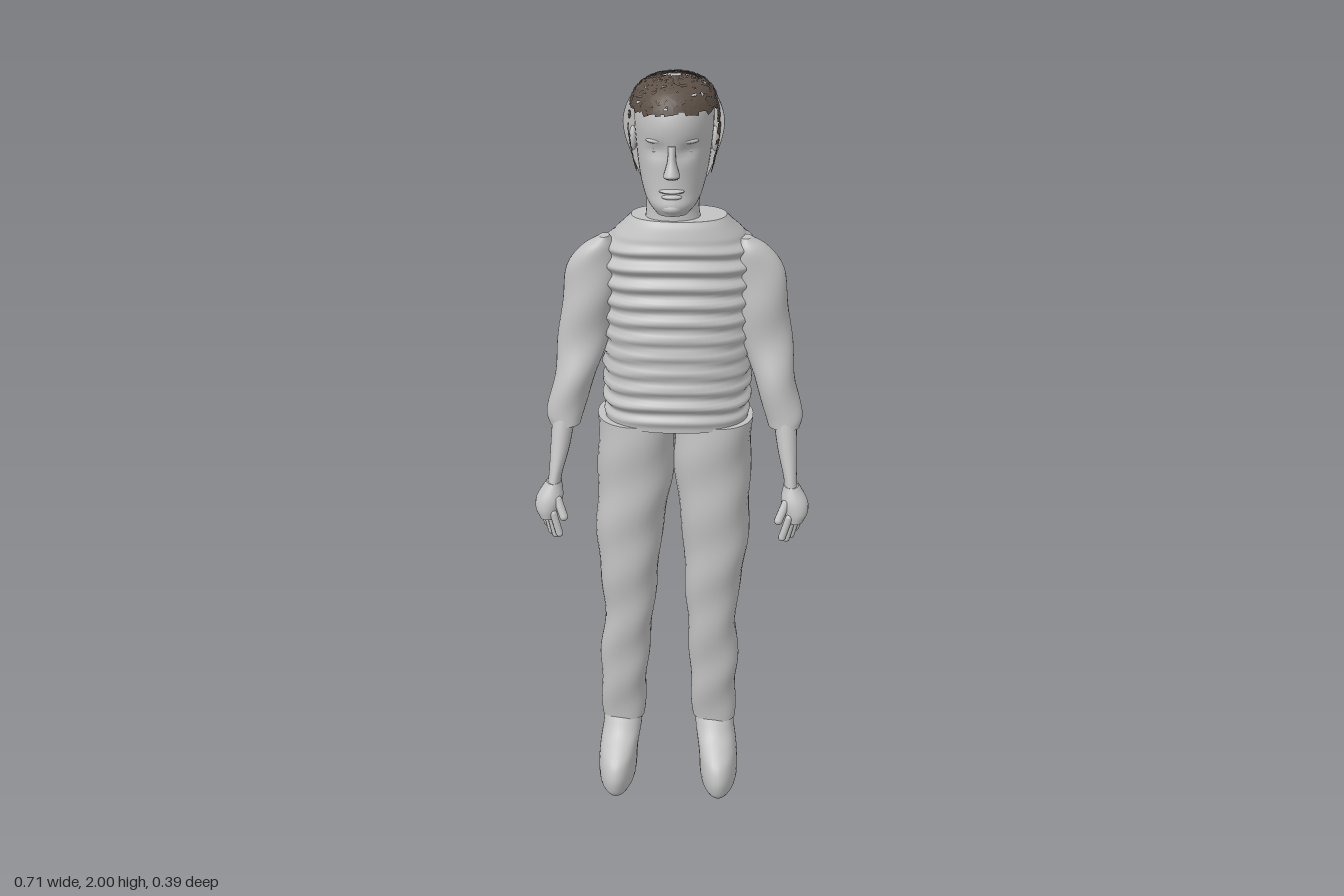
import * as THREE from 'three';

const mat = (name, color, extra = {}) => Object.assign(new THREE.MeshStandardMaterial({ color, ...extra }), { name });

// Smooth sampler over horizontal rings [y, x0, x1, z0, z1], listed bottom to top
function ringSampler(rings, pow = 2) {
  const curve = new THREE.CubicInterpolant(rings.map((_, i) => i), rings.flat(), 5);
  const e = 2 / pow;
  const bend = (v) => Math.sign(v) * Math.abs(v) ** e;
  return (t, a) => {
    const [y, x0, x1, z0, z1] = curve.evaluate(t);
    return new THREE.Vector3(
      (x0 + x1) / 2 + bend(Math.cos(a)) * (x1 - x0) / 2, y,
      (z0 + z1) / 2 + bend(Math.sin(a)) * (z1 - z0) / 2);
  };
}

// Closed skin over the rings; warp(point, angle) may adjust every vertex
function loft(rings, { seg = 32, steps = 5, pow = 2, warp } = {}) {
  const sample = ringSampler(rings, pow);
  const rows = (rings.length - 1) * steps;
  const pos = [], idx = [];
  const addRow = (r) => {
    for (let j = 0; j < seg; j++) {
      const a = (j / seg) * Math.PI * 2;
      const p = sample(r / steps, a);
      if (warp) warp(p, a);
      pos.push(p.x, p.y, p.z);
    }
  };
  for (let r = 0; r <= rows; r++) addRow(r);
  for (let r = 0; r < rows; r++) {
    for (let j = 0; j < seg; j++) {
      const a = r * seg + j, b = r * seg + (j + 1) % seg;
      idx.push(a, a + seg, b, b, a + seg, b + seg);
    }
  }
  // Separate cap vertices keep the rims sharp
  for (const r of [0, rows]) {
    const start = pos.length / 3;
    addRow(r);
    const c = new THREE.Vector3();
    for (let j = 0; j < seg; j++) c.add(new THREE.Vector3().fromArray(pos, (start + j) * 3));
    c.divideScalar(seg);
    pos.push(c.x, c.y, c.z);
    for (let j = 0; j < seg; j++) {
      const a = start + j, b = start + (j + 1) % seg;
      if (r === 0) idx.push(start + seg, a, b); else idx.push(start + seg, b, a);
    }
  }
  const g = new THREE.BufferGeometry();
  g.setAttribute('position', new THREE.Float32BufferAttribute(pos, 3));
  g.setIndex(idx);
  g.computeVertexNormals();
  return g;
}

// Body centre line leans slightly to the model's left towards the top
const midX = (y) => 0.018 * THREE.MathUtils.clamp((y - 0.3) / 0.8, 0, 1);
const mirror = (rings) => rings.map(([y, x0, x1, z0, z1]) => [y, 2 * midX(y) - x1, 2 * midX(y) - x0, z0, z1]);

export function createModel() {
  const group = new THREE.Group();
  const grey = mat('pale grey', 0xc2c2c2);
  const brown = mat('hair brown', 0x5c5047, { side: THREE.DoubleSide });
  const add = (name, geo, m = grey) => {
    const mesh = new THREE.Mesh(geo, m);
    mesh.name = name;
    group.add(mesh);
    return mesh;
  };
  const ball = (name, p, r) => {
    const mesh = add(name, new THREE.SphereGeometry(1, 20, 14));
    mesh.position.set(...p);
    mesh.scale.set(...r);
    return mesh;
  };
  const rod = (name, a, b, r) => {
    const A = new THREE.Vector3(...a), B = new THREE.Vector3(...b), d = B.clone().sub(A);
    const mesh = add(name, new THREE.CapsuleGeometry(r, d.length(), 5, 10));
    mesh.position.copy(A).add(B).multiplyScalar(0.5);
    mesh.quaternion.setFromUnitVectors(new THREE.Vector3(0, 1, 0), d.normalize());
  };

  // Padded shirt with horizontal ridges
  add('shirt', loft([
    [1.115, -0.165, 0.208, -0.15, 0.112], [1.2, -0.165, 0.21, -0.155, 0.117],
    [1.4, -0.165, 0.215, -0.17, 0.118], [1.52, -0.17, 0.222, -0.188, 0.115],
    [1.56, -0.168, 0.22, -0.193, 0.113], [1.6, -0.145, 0.198, -0.165, 0.11],
    [1.64, -0.108, 0.162, -0.11, 0.1], [1.66, -0.09, 0.145, -0.08, 0.09],
  ], { seg: 64, steps: 16, pow: 2.3, warp: (p, a) => {
    const fade = THREE.MathUtils.smoothstep(p.y, 1.115, 1.16) * (1 - THREE.MathUtils.smoothstep(p.y, 1.57, 1.62));
    const k = 0.007 * fade * Math.sin((p.y + 0.005 * Math.sin(a * 3)) * Math.PI * 2 / 0.045);
    p.x += Math.cos(a) * k;
    p.z += Math.sin(a) * k;
  } }));

  // Trousers, shoes, sleeves and forearms for the right side, mirrored for the left
  const leg = [
    [0.19, -0.19, -0.07, -0.045, 0.052], [0.3, -0.19, -0.063, -0.042, 0.065],
    [0.4, -0.19, -0.055, -0.04, 0.075], [0.55, -0.176, -0.04, -0.055, 0.088],
    [0.68, -0.188, -0.026, -0.075, 0.096], [0.8, -0.195, -0.014, -0.1, 0.1],
    [0.92, -0.19, 0.008, -0.125, 0.1], [1.02, -0.187, 0.018, -0.135, 0.1],
    [1.122, -0.185, 0.018, -0.138, 0.1],
  ];
  const shoe = [
    [0, -0.188, -0.103, -0.06, 0.155], [0.02, -0.198, -0.094, -0.08, 0.168],
    [0.06, -0.2, -0.09, -0.09, 0.175], [0.1, -0.197, -0.088, -0.088, 0.16],
    [0.13, -0.193, -0.083, -0.078, 0.122], [0.16, -0.188, -0.078, -0.06, 0.08],
    [0.2, -0.185, -0.075, -0.043, 0.049],
  ];
  const sleeve = [
    [1.125, -0.302, -0.225, 0.03, 0.11], [1.16, -0.308, -0.215, 0.012, 0.108],
    [1.25, -0.29, -0.182, -0.02, 0.098], [1.35, -0.278, -0.15, -0.04, 0.075],
    [1.45, -0.266, -0.13, -0.043, 0.072], [1.53, -0.25, -0.125, -0.038, 0.068],
    [1.58, -0.215, -0.13, -0.025, 0.06], [1.607, -0.172, -0.142, 0, 0.04],
  ];
  const forearm = [
    [0.97, -0.31, -0.272, 0.095, 0.158], [1.0, -0.304, -0.27, 0.09, 0.15],
    [1.07, -0.3, -0.25, 0.062, 0.128], [1.15, -0.295, -0.235, 0.035, 0.105],
  ];
  const palm = [
    [0.895, -0.328, -0.285, 0.118, 0.18], [0.92, -0.338, -0.275, 0.112, 0.182],
    [0.95, -0.334, -0.266, 0.105, 0.175], [0.985, -0.31, -0.271, 0.094, 0.156],
  ];
  const folds = (p, a) => {
    const k = 0.0025 * Math.sin(p.y * 34 + a * 2);
    p.x += Math.cos(a) * k;
    p.z += Math.sin(a) * k;
  };
  for (const side of [-1, 1]) {
    const label = side < 0 ? 'right' : 'left';
    const of = (rings) => (side < 0 ? rings : mirror(rings));
    add(label + 'TrouserLeg', loft(of(leg), { pow: 2.2, warp: folds }));
    add(label + 'Shoe', loft(of(shoe)));
    add(label + 'Sleeve', loft(of(sleeve), { warp: folds }));
    add(label + 'Forearm', loft(of(forearm), { seg: 20 }));
    add(label + 'Palm', loft(of(palm), { seg: 20 }));
    const mx = ([x, y, z]) => [side < 0 ? x : 2 * midX(y) - x, y, z];
    for (let i = 0; i < 4; i++) {
      const x = -0.325 + i * 0.012, z = 0.124 + i * 0.016, drop = [0.862, 0.848, 0.846, 0.856][i];
      rod(label + 'Finger', mx([x, 0.91, z]), mx([x + 0.014, drop, z + 0.004]), 0.0095);
    }
    rod(label + 'Thumb', mx([-0.278, 0.945, 0.16]), mx([-0.262, 0.905, 0.178]), 0.011);
  }

  // Neck and head
  const cx = 0.016;
  add('neck', loft([
    [1.63, -0.058, 0.086, -0.04, 0.085], [1.68, -0.052, 0.078, -0.035, 0.08],
    [1.72, -0.052, 0.08, -0.045, 0.085], [1.78, -0.055, 0.085, -0.065, 0.085],
  ]));
  add('head', loft([
    [1.692, -0.02, 0.052, 0.085, 0.158], [1.715, -0.042, 0.075, 0.02, 0.17],
    [1.745, -0.057, 0.089, -0.035, 0.163], [1.79, -0.068, 0.1, -0.08, 0.16],
    [1.85, -0.075, 0.108, -0.103, 0.161], [1.9, -0.079, 0.112, -0.113, 0.165],
    [1.94, -0.077, 0.11, -0.11, 0.154], [1.97, -0.062, 0.095, -0.09, 0.128],
    [1.988, -0.035, 0.067, -0.05, 0.09], [1.994, -0.008, 0.04, -0.01, 0.05],
  ], { seg: 40, warp: (p) => {
    // Eye sockets
    const dx = (Math.abs(p.x - cx) - 0.036) / 0.022, dy = (p.y - 1.843) / 0.016;
    if (p.z > 0.08) p.z -= 0.012 * Math.exp(-dx * dx - dy * dy);
  } }));
  // Rear shell of the skull, cut straight just ahead of the ears
  add('skullBack', loft([
    [1.76, -0.065, 0.097, -0.07, 0.14], [1.81, -0.085, 0.117, -0.095, 0.165],
    [1.86, -0.102, 0.133, -0.112, 0.182], [1.9, -0.105, 0.136, -0.118, 0.188],
    [1.94, -0.092, 0.123, -0.112, 0.182], [1.97, -0.068, 0.1, -0.09, 0.16],
    [1.99, -0.03, 0.062, -0.04, 0.11],
  ], { seg: 48, warp: (p) => { p.z = Math.min(p.z, 0.035); } }));

  // Nose, lips, chin, eyes, brows and ears
  add('nose', loft([
    [1.782, 0.001, 0.031, 0.14, 0.176], [1.79, -0.004, 0.036, 0.14, 0.195],
    [1.8, -0.001, 0.033, 0.14, 0.194], [1.825, 0.006, 0.026, 0.14, 0.18],
    [1.858, 0.007, 0.025, 0.14, 0.168],
  ], { seg: 18 }));
  ball('upperLip', [cx, 1.752, 0.156], [0.03, 0.006, 0.016]);
  ball('lowerLip', [cx, 1.739, 0.156], [0.025, 0.007, 0.015]);
  ball('chin', [cx, 1.711, 0.148], [0.028, 0.016, 0.024]);
  for (const s of [-1, 1]) {
    ball('eye', [cx + s * 0.036, 1.843, 0.124], [0.016, 0.009, 0.014]);
    ball('brow', [cx + s * 0.037, 1.866, 0.136], [0.026, 0.007, 0.015]).rotation.y = s * 0.4;
    ball('ear', [cx + s * 0.098, 1.85, 0.018], [0.012, 0.04, 0.026]);
  }

  // Ragged hair: short crossing strips laid over the scalp
  const scalp = ringSampler([
    [1.73, -0.05, 0.085, -0.06, 0.16], [1.77, -0.072, 0.106, -0.085, 0.163],
    [1.82, -0.085, 0.118, -0.105, 0.164], [1.86, -0.092, 0.125, -0.118, 0.165],
    [1.9, -0.092, 0.125, -0.125, 0.167], [1.94, -0.086, 0.119, -0.122, 0.158],
    [1.97, -0.07, 0.104, -0.1, 0.134], [1.989, -0.04, 0.073, -0.06, 0.095],
    [1.997, -0.003, 0.035, -0.015, 0.05],
  ]);
  let seed = 7;
  const rand = () => (seed = (seed * 16807) % 2147483647) / 2147483647;
  const pos = [], idx = [];
  for (let n = 0; n < 2600; n++) {
    const t = rand() * 8, a = rand() * Math.PI * 2, pick = rand();
    const { y, z } = scalp(t, a);
    const front = z > 0.045 && y > 1.93;
    const back = z < -0.035 && y > 1.835;
    const nape = z < -0.03 && y < 1.775 && pick < 0.7;
    const sideburn = Math.abs(z - 0.045) < 0.014 && y > 1.78;
    const crown = y > 1.95 && pick < 0.35;
    if (!(front || back || nape || sideburn || crown)) continue;
    const dir = rand() * Math.PI, dt = Math.cos(dir) * 0.3, da = Math.sin(dir) * 0.16;
    const lift = 1 + rand() * 0.02, start = pos.length / 3;
    for (let k = 0; k < 3; k++) {
      for (const w of [-0.13, 0.13]) {
        const tt = THREE.MathUtils.clamp(t + dt * (k - 1) + w * Math.sin(dir), 0, 8);
        const p = scalp(tt, a + da * (k - 1) - w * 0.5 * Math.cos(dir));
        pos.push(cx + (p.x - cx) * lift, Math.min(p.y + (lift - 1) * 0.2, 2), 0.02 + (p.z - 0.02) * lift);
      }
    }
    for (const o of [start, start + 2]) idx.push(o, o + 1, o + 2, o + 1, o + 3, o + 2);
  }
  const hair = new THREE.BufferGeometry();
  hair.setAttribute('position', new THREE.Float32BufferAttribute(pos, 3));
  hair.setIndex(idx);
  hair.computeVertexNormals();
  add('hair', hair, brown);
  return group;
}
